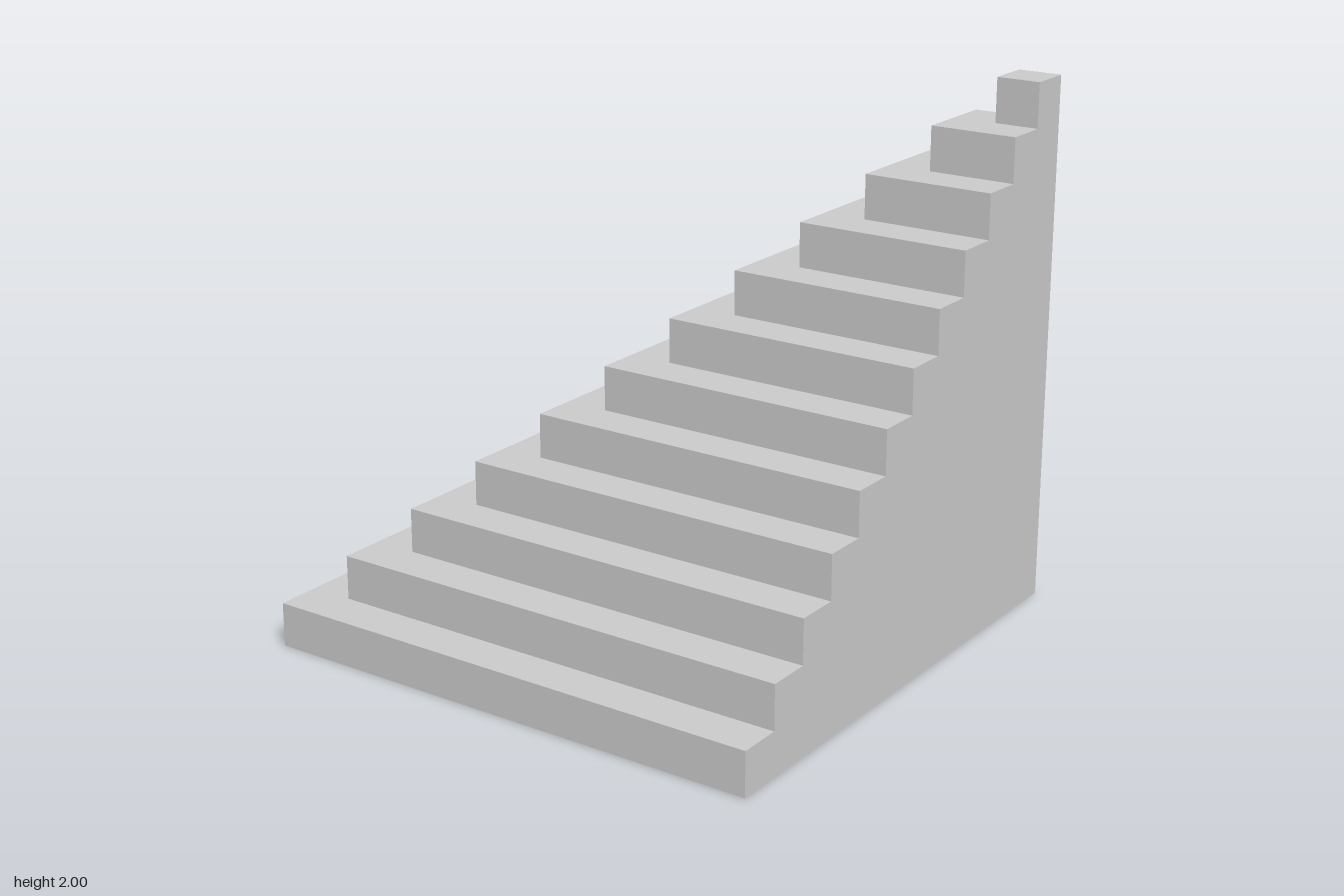
import * as THREE from 'three';

const STEPS = 12;
const SIZE = 2;

export function createModel() {
  const group = new THREE.Group();
  group.name = 'cornerStairs';
  const material = new THREE.MeshStandardMaterial({ color: 0xcccccc, flatShading: true });
  const rise = SIZE / STEPS;

  // Square slabs shrinking toward the back corner at +x, -z
  for (let i = 0; i < STEPS; i++) {
    const width = SIZE - i * rise;
    const step = new THREE.Mesh(new THREE.BoxGeometry(width, rise, width), material);
    step.name = `step${i + 1}`;
    step.position.set((SIZE - width) / 2, (i + 0.5) * rise, -(SIZE - width) / 2);
    group.add(step);
  }
  return group;
}
